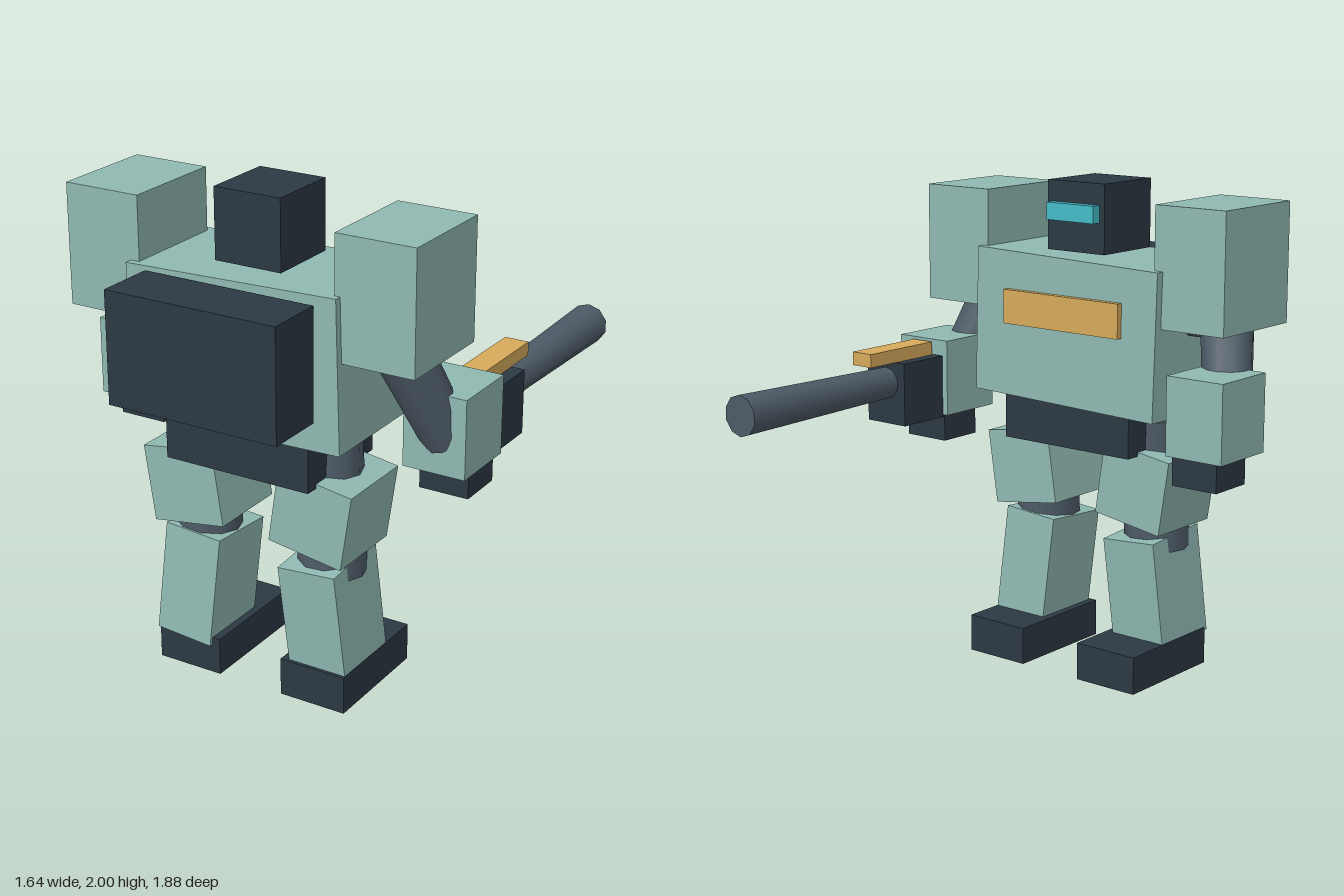
import * as THREE from 'three';

const paint = (color) => new THREE.MeshStandardMaterial({ color });

export function createModel() {
  const model = new THREE.Group();
  model.name = 'robot';
  const armour = paint(0x8fb8b1);
  const dark = paint(0x2c3843);
  const joint = paint(0x4d5a66);
  const trim = paint(0xd6aa5c);
  const glow = paint(0x45bcc8);

  const add = (name, geometry, material) => {
    const mesh = new THREE.Mesh(geometry, material);
    mesh.name = name;
    model.add(mesh);
    return mesh;
  };

  // Box from its size and centre
  const box = (name, material, [w, h, d], [x, y, z], rx = 0, rz = 0) => {
    const mesh = add(name, new THREE.BoxGeometry(w, h, d), material);
    mesh.position.set(x, y, z);
    mesh.rotation.set(rx, 0, rz);
    return mesh;
  };

  // Tapered rod between two points
  const rod = (name, from, to, r0, r1, sides = 10) => {
    const a = new THREE.Vector3(...from);
    const b = new THREE.Vector3(...to);
    const dir = b.clone().sub(a);
    const mesh = add(name, new THREE.CylinderGeometry(r1, r0, dir.length(), sides), joint);
    mesh.position.copy(a).add(b).multiplyScalar(0.5);
    mesh.quaternion.setFromUnitVectors(new THREE.Vector3(0, 1, 0), dir.normalize());
    return mesh;
  };

  // Head and visor, facing -z
  box('head', dark, [0.285, 0.28, 0.305], [0, 1.86, 0.403]);
  box('visor', glow, [0.235, 0.07, 0.06], [0, 1.88, 0.24]);

  // Slightly tilted torso with trim plates, backpack and pelvis
  box('torso', armour, [0.905, 0.595, 0.505], [0, 1.405, 0.4225], 0, 0.0276);
  box('chestPlate', trim, [0.58, 0.14, 0.05], [0, 1.485, 0.17]);
  box('backPlate', trim, [0.58, 0.14, 0.05], [0, 1.485, 0.667]);
  box('backpack', dark, [0.725, 0.445, 0.245], [0, 1.458, 0.8125]);
  box('pelvis', dark, [0.63, 0.19, 0.465], [0, 1.025, 0.4225]);

  for (const s of [1, -1]) {
    const side = s > 0 ? 'left' : 'right';

    // Arm
    box(side + 'Shoulder', armour, [0.325, 0.48, 0.44], [s * 0.583, 1.705, 0.425]);
    rod(side + 'ShoulderJoint', [s * 0.4, 1.51, 0.425], [s * 0.58, 1.51, 0.425], 0.1, 0.1);
    rod(side + 'UpperArm', [s * 0.56, 1.58, 0.5], [s * 0.7, 1.12, 0.31], 0.11, 0.095, 12);
    box(side + 'Forearm', armour, [0.258, 0.315, 0.29], [s * 0.689, 1.157, 0.245]);
    box(side + 'Hand', dark, [0.205, 0.125, 0.195], [s * 0.688, 0.9475, 0.208]);

    // Leg: splayed thigh, shins leaning opposite ways for a stride
    rod(side + 'LegCore', [s * 0.275, 1.06, 0.415], [s * 0.285, 0.52, 0.435], 0.115, 0.135);
    box(side + 'Thigh', armour, [0.32, 0.31, 0.345], [s * 0.285, 0.795, 0.4275], 0, -s * 0.15);
    box(side + 'Shin', armour, [0.25, 0.46, 0.31], [s * 0.285, 0.35, 0.43], s * 0.07, s * 0.075);
    box(side + 'Foot', dark, [0.285, 0.155, 0.495], [s * 0.285, 0.0775, 0.3375]);
  }

  // Cannon on the left forearm
  box('cannonBody', dark, [0.205, 0.26, 0.24], [0.688, 1.12, -0.013]);
  rod('cannonBarrel', [0.687, 1.16, -0.1], [0.687, 1.16, -0.94], 0.066, 0.083);
  box('cannonRail', trim, [0.1, 0.055, 0.365], [0.685, 1.2775, -0.0925]);

  return model;
}
